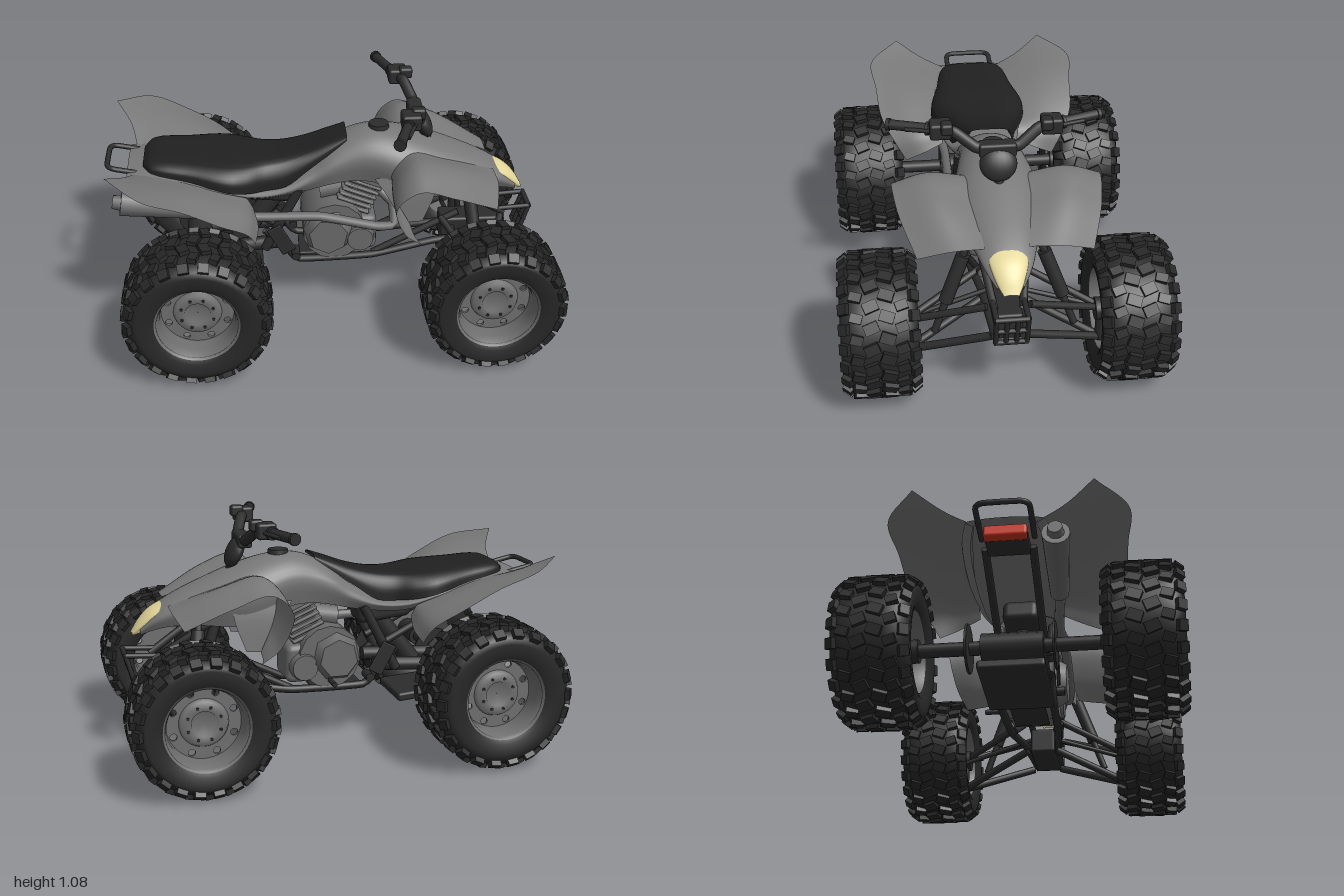
import * as THREE from 'three';
import { mergeGeometries } from 'three/addons/utils/BufferGeometryUtils.js';
import { RoundedBoxGeometry } from 'three/addons/geometries/RoundedBoxGeometry.js';

const mat = (name, color, side = THREE.FrontSide) => {
  const m = new THREE.MeshStandardMaterial({ color, side });
  m.name = name;
  return m;
};
const V = (p) => new THREE.Vector3(...p);

// Smooth sheet through rows of control points
function sheet(rows, nu = 18, nv = 28) {
  const across = rows.map((r) => new THREE.CatmullRomCurve3(r.map(V)).getPoints(nu));
  const pos = [], idx = [];
  for (let i = 0; i <= nu; i++) {
    const col = new THREE.CatmullRomCurve3(across.map((r) => r[i])).getPoints(nv);
    col.forEach((p) => pos.push(p.x, p.y, p.z));
  }
  for (let i = 0; i < nu; i++) for (let j = 0; j < nv; j++) {
    const a = i * (nv + 1) + j, b = a + nv + 1;
    idx.push(a, a + 1, b, b, a + 1, b + 1);
  }
  const g = new THREE.BufferGeometry();
  g.setAttribute('position', new THREE.Float32BufferAttribute(pos, 3));
  g.setIndex(idx);
  g.computeVertexNormals();
  return g;
}

// Arched cross-section: x, top, bottom, half width, shoulder height factor
const arch = ([x, top, bot, w], sh = 0.12) => [
  [-0.8, 0], [-1, 0.55], [-0.62, 1 - sh], [0, 1], [0.62, 1 - sh], [1, 0.55], [0.8, 0],
].map(([k, t]) => [x, bot + (top - bot) * t, k * w]);

// Seat cross-section with sides draping straight down
const drape = ([x, top, bot, w]) => [
  [-1, 0], [-0.96, 0.5], [-0.72, 0.92], [0, 1], [0.72, 0.92], [0.96, 0.5], [1, 0],
].map(([k, t]) => [x, bot + (top - bot) * t, k * w]);

export function createModel() {
  const model = new THREE.Group();
  const D = THREE.DoubleSide;
  const body = mat('body grey', 0x777777, D), seatM = mat('seat black', 0x202020, D);
  const tyreM = mat('tyre rubber', 0x272727, D), rimM = mat('rim grey', 0x6e6e6e, D);
  const frameM = mat('frame black', 0x2c2c2c, D), engineM = mat('engine grey', 0x696969);
  const lightM = mat('headlight cream', 0xe2d698, D), redM = mat('tail light red', 0xc2301c);

  const add = (name, geo, m, parent = model) => {
    const mesh = new THREE.Mesh(geo, m);
    mesh.name = name;
    parent.add(mesh);
    return mesh;
  };
  const rod = (name, a, b, r, m = frameM, r2 = r, parent = model, sides = 14) => {
    const A = V(a), B = V(b), d = B.clone().sub(A);
    const mesh = add(name, new THREE.CylinderGeometry(r2, r, d.length(), sides), m, parent);
    mesh.position.copy(A).add(B).multiplyScalar(0.5);
    mesh.quaternion.setFromUnitVectors(new THREE.Vector3(0, 1, 0), d.normalize());
  };
  const tube = (name, pts, r, m = frameM) => add(name, new THREE.TubeGeometry(
    new THREE.CatmullRomCurve3(pts.map(V), false, 'catmullrom', 0.2), pts.length * 8, r, 10), m);
  const box = (name, size, at, m = frameM, rz = 0, round = 0.012) => {
    const mesh = add(name, new RoundedBoxGeometry(...size, 2, round), m);
    mesh.position.set(...at);
    mesh.rotation.z = rz;
  };

  // Wheels: tyre with knobs, pierced dish, hub and bolts
  function wheel(name, x, y, z, R, hw, side) {
    const g = new THREE.Group();
    g.name = name;
    const c = R - 0.018;
    const half = [[0.172, 0.84], [0.2, 0.95], [0.25, 0.98], [c - 0.03, 0.93], [c - 0.008, 0.74], [c, 0.4]];
    const prof = [...half.map(([r, a]) => [r, -a]), ...half.slice().reverse()];
    const pts = prof.map(([r, a]) => new THREE.Vector2(r, a * hw));
    add('tyre', new THREE.LatheGeometry(pts, 56).rotateX(Math.PI / 2), tyreM, g);
    const knobs = [], n = 22;
    // row: axial position, length, width, radius, tilt, phase
    const rows = [[0.2, 0.045, 0.06, c + 0.002, 0.35, 0], [0.57, 0.038, 0.05, c, -0.3, 0.5],
      [0.86, 0.045, 0.042, c - 0.017, 0, 0]];
    for (let i = 0; i < n; i++) for (const s of [-1, 1]) for (const [a, l, w, r, tilt, ph] of rows) {
      const k = new THREE.BoxGeometry(l, 0.032, w);
      if (a > 0.8) k.rotateX(s * 0.65);
      k.rotateY(tilt * s).translate(0, r, a * hw * s);
      k.rotateZ(((i + ph + (s > 0 ? 0.5 : 0)) / n) * Math.PI * 2);
      knobs.push(k);
    }
    add('treadKnobs', mergeGeometries(knobs), tyreM, g);
    const barrel = [[0.178, -0.86], [0.17, -0.8], [0.16, -0.5], [0.155, 0.2], [0.16, 0.6], [0.17, 0.82], [0.182, 0.9]]
      .map(([r, a]) => new THREE.Vector2(r, a * hw));
    add('rimBarrel', new THREE.LatheGeometry(barrel, 48).rotateX(Math.PI / 2), rimM, g);
    const dish = new THREE.Shape().absarc(0, 0, 0.157, 0, Math.PI * 2);
    for (let i = 0; i < 8; i++) {
      const a = ((i + 0.5) / 8) * Math.PI * 2;
      dish.holes.push(new THREE.Path().absarc(0.136 * Math.cos(a), 0.136 * Math.sin(a), 0.015, 0, Math.PI * 2, true));
      const bolt = add('wheelBolt', new THREE.CylinderGeometry(0.007, 0.007, 0.02, 6).rotateX(Math.PI / 2), frameM, g);
      bolt.position.set(0.073 * Math.cos(a), 0.073 * Math.sin(a), 0.058);
    }
    const face = new THREE.ExtrudeGeometry(dish, { depth: 0.012, bevelEnabled: false, curveSegments: 24 });
    add('rimDish', face.translate(0, 0, 0.03), rimM, g);
    const hub = [[0.105, 0.04], [0.095, 0.062], [0.055, 0.064], [0.05, 0.048], [0.001, 0.048]]
      .map((p) => new THREE.Vector2(...p));
    add('hubRing', new THREE.LatheGeometry(hub, 32).rotateX(Math.PI / 2), rimM, g);
    rod('hub', [0, 0, -hw * 0.9], [0, 0, 0.035], 0.05, frameM, 0.05, g);
    g.position.set(x, y, z * side);
    if (side < 0) g.rotation.y = Math.PI;
    model.add(g);
  }

  // Central bodywork, headlight nose and seat
  add('bodyShell', sheet([
    [-0.9, 0.775, 0.74, 0.16], [-0.75, 0.785, 0.71, 0.2], [-0.5, 0.74, 0.665, 0.21], [-0.34, 0.69, 0.625, 0.19],
    [-0.2, 0.69, 0.625, 0.16], [-0.08, 0.755, 0.64, 0.135], [0, 0.825, 0.66, 0.135], [0.1, 0.88, 0.675, 0.135],
    [0.2, 0.9, 0.67, 0.15], [0.32, 0.885, 0.62, 0.175], [0.45, 0.845, 0.6, 0.19], [0.6, 0.785, 0.61, 0.16],
    [0.72, 0.73, 0.61, 0.125], [0.8, 0.68, 0.595, 0.098], [0.87, 0.605, 0.565, 0.055],
  ].map((s) => arch(s)), 24, 56), body);
  add('headlight', sheet([[0.76, 0.706, 0.645, 0.088], [0.82, 0.676, 0.612, 0.074], [0.87, 0.627, 0.575, 0.052],
    [0.903, 0.575, 0.56, 0.03]].map((s) => arch(s)), 18, 10), lightM);
  add('seat', sheet([
    [-0.83, 0.795, 0.78, 0.09], [-0.79, 0.82, 0.775, 0.15], [-0.62, 0.815, 0.745, 0.19], [-0.46, 0.805, 0.705, 0.228],
    [-0.37, 0.797, 0.685, 0.205], [-0.29, 0.795, 0.675, 0.165], [-0.2, 0.802, 0.68, 0.145], [-0.1, 0.825, 0.745, 0.125],
    [0, 0.862, 0.815, 0.105], [0.08, 0.89, 0.872, 0.085],
  ].map(drape), 24, 36), seatM);
  rod('fuelCap', [0.23, 0.88, 0], [0.23, 0.912, 0], 0.05, frameM, 0.045);

  for (const s of [1, -1]) {
    const side = s > 0 ? 'left' : 'right';
    const mir = (rows) => rows.map((r) => r.map(([x, y, z]) => [x, y, z * s]));
    // Flared rear wing
    add(side + 'RearFender', sheet(mir([
      [[-0.87, 0.765, 0.13], [-0.9, 0.82, 0.25], [-0.97, 0.885, 0.37]],
      [[-0.76, 0.76, 0.15], [-0.78, 0.81, 0.33], [-0.81, 0.84, 0.505]],
      [[-0.62, 0.735, 0.17], [-0.63, 0.77, 0.33], [-0.65, 0.775, 0.49]],
      [[-0.48, 0.69, 0.18], [-0.48, 0.705, 0.33], [-0.49, 0.685, 0.47]],
      [[-0.38, 0.65, 0.18], [-0.37, 0.635, 0.31], [-0.38, 0.6, 0.41]],
      [[-0.35, 0.6, 0.18], [-0.33, 0.56, 0.28], [-0.345, 0.52, 0.36]],
    ]), 14, 28), body);
    // Front wing arching behind and over the wheel
    add(side + 'FrontFender', sheet(mir([
      [[0.36, 0.49, 0.2], [0.37, 0.48, 0.29], [0.39, 0.48, 0.36]],
      [[0.3, 0.6, 0.16], [0.3, 0.57, 0.3], [0.31, 0.56, 0.4]],
      [[0.28, 0.74, 0.13], [0.265, 0.73, 0.31], [0.265, 0.71, 0.435]],
      [[0.36, 0.82, 0.13], [0.36, 0.845, 0.3], [0.36, 0.8, 0.45]],
      [[0.52, 0.78, 0.12], [0.52, 0.81, 0.28], [0.52, 0.75, 0.43]],
      [[0.75, 0.7, 0.09], [0.75, 0.695, 0.22], [0.72, 0.65, 0.365]],
    ]), 14, 32), body);
    // Radiator shroud
    add(side + 'SideShroud', sheet(mir([
      [[0.2, 0.7, 0.14], [0.25, 0.63, 0.16], [0.33, 0.48, 0.17]],
      [[0.48, 0.72, 0.17], [0.47, 0.63, 0.18], [0.42, 0.49, 0.18]],
    ]), 10, 6), body);

    wheel(side + 'RearWheel', -0.605, 0.335, 0.54, 0.325, 0.165, s);
    wheel(side + 'FrontWheel', 0.685, 0.32, 0.53, 0.312, 0.16, s);

    // Front suspension
    for (const x of [0.52, 0.8]) {
      rod(side + 'UpperArm', [x, 0.45, 0.09 * s], [0.68, 0.32, 0.42 * s], 0.016);
      rod(side + 'LowerArm', [x, 0.3, 0.07 * s], [0.68, 0.165, 0.42 * s], 0.018);
    }
    rod(side + 'TieRod', [0.58, 0.38, 0.06 * s], [0.6, 0.27, 0.42 * s], 0.011);
    rod(side + 'Shock', [0.62, 0.68, 0.14 * s], [0.68, 0.25, 0.3 * s], 0.016);
    rod(side + 'ShockSpring', [0.633, 0.6, 0.17 * s], [0.662, 0.39, 0.25 * s], 0.03);
    rod(side + 'SteeringKnuckle', [0.68, 0.16, 0.42 * s], [0.68, 0.36, 0.42 * s], 0.026);

    // Frame rails, footrests and swing arm
    tube(side + 'LowerRail', [[-0.3, 0.44, 0.12 * s], [-0.2, 0.34, 0.12 * s], [-0.14, 0.275, 0.12 * s],
      [0.2, 0.275, 0.11 * s], [0.5, 0.32, 0.08 * s], [0.86, 0.34, 0.06 * s]], 0.018);
    tube(side + 'FrontDownTube', [[0.28, 0.68, 0.09 * s], [0.55, 0.62, 0.1 * s], [0.82, 0.45, 0.06 * s]], 0.017);
    rod(side + 'FrontBrace', [0.2, 0.28, 0.1 * s], [0.6, 0.48, 0.09 * s], 0.016);
    rod(side + 'RearFrameTube', [-0.14, 0.65, 0.12 * s], [-0.3, 0.34, 0.12 * s], 0.022);
    rod(side + 'SubframeTube', [-0.22, 0.45, 0.1 * s], [-0.75, 0.72, 0.1 * s], 0.017);
    rod(side + 'SwingArm', [-0.2, 0.36, 0.09 * s], [-0.6, 0.335, 0.1 * s], 0.032);
    rod(side + 'Footrest', [-0.16, 0.32, 0.1 * s], [-0.16, 0.32, 0.175 * s], 0.02);
    box(side + 'HeelGuard', [0.07, 0.15, 0.012], [-0.225, 0.4, 0.15 * s], frameM, 0.5, 0.005);

    // Handlebar controls
    rod(side + 'Grip', [0.325, 1.035, 0.27 * s], [0.265, 1.035, 0.445 * s], 0.022);
    rod(side + 'GripFlange', [0.323, 1.035, 0.28 * s], [0.319, 1.035, 0.292 * s], 0.03);
    rod(side + 'GripEnd', [0.267, 1.035, 0.44 * s], [0.262, 1.035, 0.455 * s], 0.027);
    box(side + 'Switchgear', [0.085, 0.07, 0.09], [0.34, 1.04, 0.235 * s]);
    box(side + 'Reservoir', [0.06, 0.05, 0.05], [0.375, 1.06, 0.21 * s]);
    rod(side + 'Lever', [0.375, 1.04, 0.22 * s], [0.31, 1.03, 0.38 * s], 0.009);
  }

  // Handlebar and steering stem
  tube('handlebar', [[0.325, 1.035, -0.28], [0.36, 1.035, -0.18], [0.395, 0.975, -0.09], [0.4, 0.965, 0],
    [0.395, 0.975, 0.09], [0.36, 1.035, 0.18], [0.325, 1.035, 0.28]], 0.025);
  box('handlebarPad', [0.065, 0.06, 0.16], [0.395, 0.965, 0]);
  rod('steeringStem', [0.55, 0.5, 0], [0.41, 0.96, 0], 0.024);
  const pod = add('instrumentPod', new THREE.SphereGeometry(1, 20, 14), frameM);
  pod.scale.set(0.036, 0.075, 0.08);
  pod.position.set(0.43, 0.91, 0);
  pod.rotation.z = 0.45;

  // Front bumper cage
  for (const z of [-0.065, -0.022, 0.022, 0.065])
    rod('bumperBar', [0.9, 0.34, z], [0.94, 0.48, z], 0.011);
  for (const [x, y] of [[0.9, 0.34], [0.92, 0.41], [0.94, 0.48]])
    rod('bumperCrossbar', [x, y, -0.07], [x, y, 0.07], 0.012);
  for (const z of [-0.065, 0.065]) rod('bumperStay', [0.94, 0.48, z], [0.78, 0.47, z], 0.012);
  box('frontBulkhead', [0.3, 0.12, 0.12], [0.68, 0.36, 0]);

  // Engine
  rod('crankcase', [0.02, 0.42, -0.13], [0.02, 0.42, 0.13], 0.145, engineM);
  box('gearbox', [0.32, 0.18, 0.22], [0.06, 0.39, 0], engineM, 0, 0.03);
  for (const s of [-1, 1]) {
    rod('engineCover', [-0.01, 0.42, 0.12 * s], [-0.01, 0.42, 0.175 * s], 0.12, engineM, 0.09, model, 7);
    rod('smallCover', [0.14, 0.38, 0.1 * s], [0.14, 0.38, 0.145 * s], 0.07, engineM, 0.06);
  }
  for (let i = 0; i < 6; i++)
    box('cylinderFin', [0.17, 0.014, 0.18], [0.105 + i * 0.011, 0.52 + i * 0.024, 0], engineM, -0.4, 0.005);
  box('cylinder', [0.14, 0.24, 0.14], [0.13, 0.56, 0], engineM, -0.4, 0.015);
  box('cylinderHead', [0.16, 0.07, 0.16], [0.18, 0.66, 0], engineM, -0.4, 0.015);
  rod('carburettor', [-0.04, 0.58, 0], [0.08, 0.6, 0], 0.05, engineM);
  box('airBox', [0.26, 0.1, 0.16], [-0.26, 0.61, 0], frameM, -0.1, 0.03);
  rod('gearLever', [0.02, 0.31, -0.12], [0.02, 0.31, -0.21], 0.012);
  box('engineSkid', [0.24, 0.016, 0.16], [-0.02, 0.272, 0], frameM, 0, 0.006);

  // Exhaust
  tube('exhaustHeader', [[0.2, 0.62, 0.04], [0.29, 0.55, 0.1], [0.29, 0.46, 0.15], [0.2, 0.47, 0.17],
    [-0.05, 0.535, 0.175], [-0.35, 0.545, 0.17], [-0.6, 0.62, 0.2]], 0.022, engineM);
  rod('muffler', [-0.55, 0.6, 0.19], [-0.93, 0.67, 0.21], 0.04, engineM, 0.058);
  rod('mufflerTip', [-0.92, 0.668, 0.21], [-0.965, 0.676, 0.21], 0.036, engineM, 0.03);

  // Rear axle, swing arm plate, tail light and grab rail
  rod('rearAxle', [-0.605, 0.335, -0.52], [-0.605, 0.335, 0.52], 0.03);
  rod('axleHousing', [-0.605, 0.335, -0.13], [-0.605, 0.335, 0.13], 0.06);
  rod('brakeDisc', [-0.605, 0.335, -0.19], [-0.605, 0.335, -0.18], 0.105);
  rod('sprocket', [-0.605, 0.335, 0.17], [-0.605, 0.335, 0.18], 0.1);
  box('rearSkid', [0.38, 0.04, 0.28], [-0.5, 0.21, 0], frameM, -0.08);
  rod('rearShock', [-0.2, 0.62, 0], [-0.42, 0.34, 0], 0.045);
  box('tailLightHousing', [0.14, 0.05, 0.18], [-0.79, 0.72, 0]);
  box('tailLight', [0.045, 0.06, 0.18], [-0.868, 0.72, 0], redM, -0.25);
  tube('grabRail', [[-0.78, 0.745, 0.11], [-0.96, 0.785, 0.11], [-0.988, 0.79, 0.08], [-0.988, 0.79, -0.08],
    [-0.96, 0.785, -0.11], [-0.78, 0.745, -0.11]], 0.012);
  return model;
}
